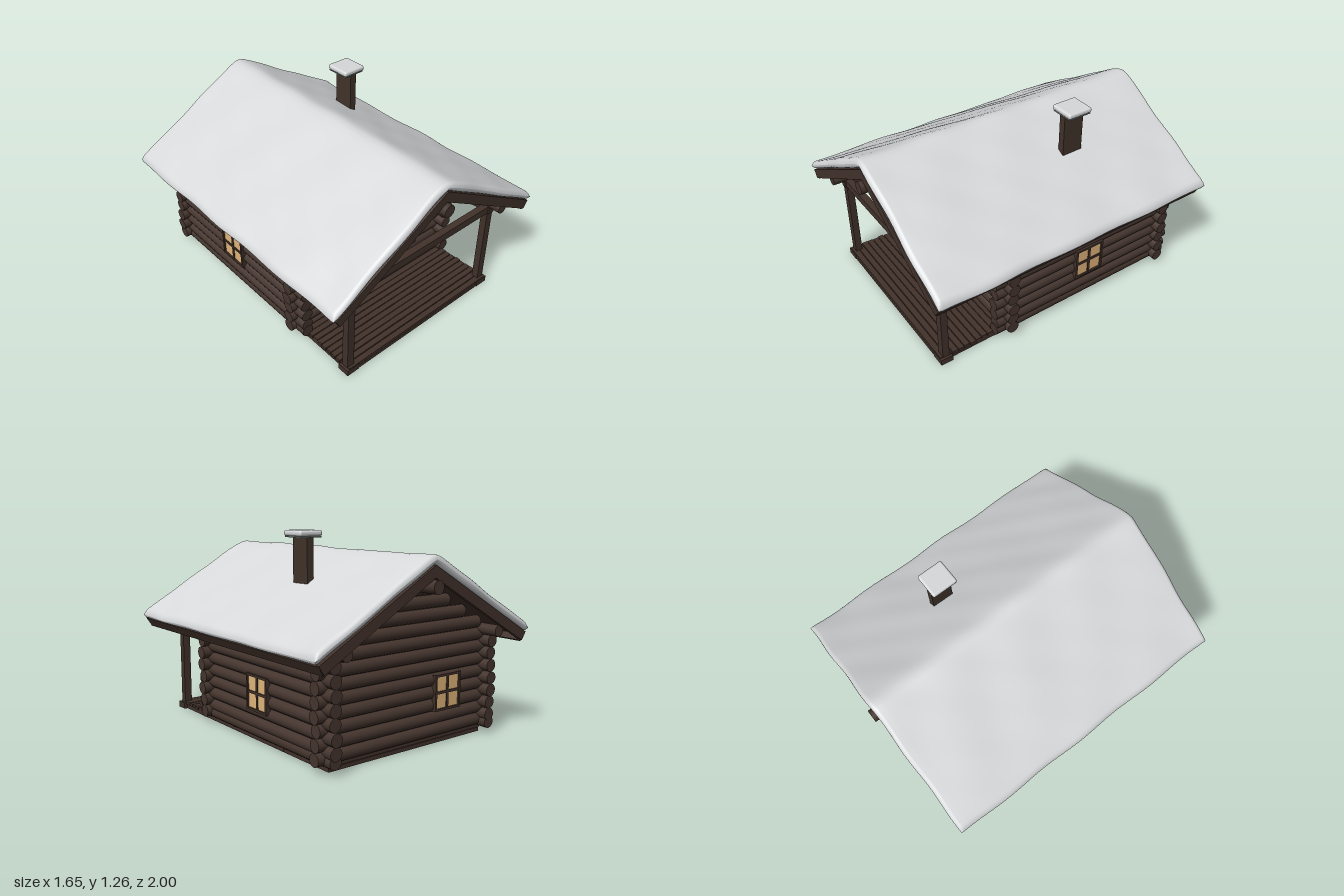
import * as THREE from 'three';
import { RoundedBoxGeometry } from 'three/addons/geometries/RoundedBoxGeometry.js';

const mat = (name, color, side = THREE.FrontSide) => {
  const m = new THREE.MeshStandardMaterial({ color, side });
  m.name = name;
  return m;
};

// Small seeded generator for hand-cut irregularity
function seeded(seed) {
  return () => {
    seed = (seed * 16807) % 2147483647;
    return seed / 2147483647;
  };
}

const PITCH = 0.0775, WALL_X = 0.61, FRONT_Z = 0.405, BACK_Z = -0.785, SLOPE = 0.5625;

export function createModel() {
  const model = new THREE.Group();
  model.name = 'logCabin';
  const rand = seeded(77);
  const logWood = mat('logWood', 0x45352e);
  const trimWood = mat('trimWood', 0x42322b);
  const doorWood = mat('doorWood', 0x46362f);
  const chimneyBrown = mat('chimneyBrown', 0x41332a);
  const snow = mat('snow', 0xd6d8da);
  const glow = mat('windowGlow', 0xe2b67c);
  const metal = mat('capMetal', 0x737c78);

  const group = (name, parent = model) => {
    const g = new THREE.Group();
    g.name = name;
    parent.add(g);
    return g;
  };
  const add = (parent, name, geo, material, x = 0, y = 0, z = 0) => {
    const m = new THREE.Mesh(geo, material);
    m.name = name;
    m.position.set(x, y, z);
    parent.add(m);
    return m;
  };
  const box = (parent, name, material, w, h, d, x, y, z) =>
    add(parent, name, new THREE.BoxGeometry(w, h, d), material, x, y, z);
  // Log from a to b along one axis
  const log = (parent, name, axis, a, b, u, y, r = 0.0395) => {
    const geo = new THREE.CylinderGeometry(r, r, b - a, 14);
    if (axis === 'x') geo.rotateZ(Math.PI / 2); else geo.rotateX(Math.PI / 2);
    const mid = (a + b) / 2;
    return axis === 'x' ? add(parent, name, geo, logWood, mid, y, u)
      : add(parent, name, geo, logWood, u, y, mid);
  };

  // Front and back walls, continuing up into the gables
  const walls = group('logWalls');
  for (const z of [FRONT_Z, BACK_Z]) {
    for (let i = 0; i < 12; i++) {
      const y = 0.085 + i * PITCH;
      const half = i < 7 ? 0.675 : Math.min(0.61, (1.055 - y - 0.035) / SLOPE);
      const jig = () => (i < 7 ? rand() * 0.018 : 0);
      log(walls, i < 7 ? 'wallLog' : 'gableLog', 'x', -half - jig(), half + jig(), z, y);
    }
  }
  // Side walls, staggered by half a log
  for (const x of [-WALL_X, WALL_X]) {
    for (let i = 0; i < 8; i++) {
      const y = i ? 0.0465 + i * PITCH : 0.075;
      log(walls, 'sideLog', 'z', -0.868 - rand() * 0.014, 0.495 + rand() * 0.014, x, y);
    }
  }

  // Ridge beam and eave purlins
  const roof = group('roof');
  log(roof, 'ridgeBeam', 'z', -1, 1, 0, 0.97, 0.04);
  for (const s of [-1, 1]) log(roof, 'purlin', 'z', -0.94, 0.94, s * 0.59, 0.66, 0.036);

  // Wooden roof deck and gable bargeboards share a chevron section
  const chevron = (drop, endX, depth) => {
    const top = 1.09, endY = top - SLOPE * endX, inX = endX - drop * 0.48;
    const shape = new THREE.Shape([
      [0, top], [-endX, endY], [-inX, top - drop - SLOPE * inX], [0, top - drop],
      [inX, top - drop - SLOPE * inX], [endX, endY],
    ].map(([x, y]) => new THREE.Vector2(x, y)));
    return new THREE.ExtrudeGeometry(shape, { depth, bevelEnabled: false });
  };
  add(roof, 'roofBoards', chevron(0.03, 0.79, 1.92), trimWood, 0, 0, -0.96);
  add(roof, 'frontBargeboard', chevron(0.07, 0.8, 0.025), trimWood, 0, 0, 0.95);
  add(roof, 'backBargeboard', chevron(0.07, 0.8, 0.025), trimWood, 0, 0, -0.975);
  for (const s of [-1, 1]) {
    const b = box(roof, 'eaveBoard', trimWood, 0.02, 0.06, 1.93, s * 0.772, 0.613, 0);
    b.rotation.z = -s * 0.51;
  }

  add(roof, 'roofSnow', snowBlanket(), snow);

  // Chimney with a snow-covered cap
  const chimney = group('chimney');
  box(chimney, 'stack', chimneyBrown, 0.045, 0.34, 0.14, 0.352, 1.055, -0.24);
  box(chimney, 'capPlate', metal, 0.15, 0.008, 0.155, 0.352, 1.226, -0.24);
  add(chimney, 'capSnow', new RoundedBoxGeometry(0.165, 0.034, 0.17, 3, 0.014), snow, 0.352, 1.247, -0.24);

  // Floor planks over joists
  const floor = group('floor');
  for (let i = 0; i < 40; i++) {
    const w = 1.2 + rand() * 0.02;
    box(floor, 'plank', trimWood, w, 0.02, 0.037, 0, 0.036 + rand() * 0.004, -0.78 + i * 0.042);
  }
  for (let i = -2; i <= 2; i++) box(floor, 'joist', trimWood, 0.035, 0.028, 1.66, i * 0.29, 0.014, 0.04);
  for (const z of [-0.78, -0.36, 0.06, 0.48, 0.86]) {
    box(floor, 'crossBeam', trimWood, 1.2, 0.024, 0.035, 0, 0.014, z);
  }

  // Porch posts and beams
  const porch = group('porch');
  for (const s of [-1, 1]) {
    box(porch, 'post', trimWood, 0.05, 0.6, 0.045, s * 0.58, 0.335, 0.838);
    box(porch, 'postFoot', trimWood, 0.09, 0.04, 0.08, s * 0.575, 0.02, 0.84);
    box(porch, 'sideBeam', trimWood, 0.045, 0.045, 0.46, s * 0.58, 0.613, 0.64);
  }
  box(porch, 'frontBeam', trimWood, 1.2, 0.05, 0.045, 0, 0.617, 0.838);

  // Rectangular frame facing +z
  const frame = (parent, name, material, w, h, t, d, x, y, z) => {
    for (const s of [-1, 1]) {
      box(parent, name, material, t, h, d, x + s * (w - t) / 2, y, z);
      box(parent, name, material, w - 2 * t, t, d, x, y + s * (h - t) / 2, z);
    }
  };

  // Front door with two raised panels
  const door = group('door');
  door.position.set(-0.195, 0.285, 0.44);
  box(door, 'doorLeaf', doorWood, 0.21, 0.43, 0.02, 0, -0.005, 0);
  frame(door, 'doorFrame', trimWood, 0.25, 0.47, 0.02, 0.04, 0, 0, 0);
  for (const y of [0.117, -0.103]) {
    box(door, 'doorPanel', doorWood, 0.13, 0.135, 0.008, 0, y, 0.012);
    frame(door, 'panelTrim', trimWood, 0.15, 0.155, 0.01, 0.016, 0, y, 0.012);
  }
  box(door, 'doorHandle', trimWood, 0.012, 0.03, 0.022, -0.09, 0.02, 0.016);

  // Four-pane windows, one for each wall
  const windows = [
    [0.265, FRONT_Z + 0.038, 0], [-0.27, BACK_Z - 0.038, Math.PI],
    [WALL_X + 0.038, -0.19, Math.PI / 2], [-WALL_X - 0.038, -0.19, -Math.PI / 2],
  ];
  for (const [x, z, turn] of windows) {
    const win = group('window');
    win.position.set(x, 0.318, z);
    win.rotation.y = turn;
    box(win, 'windowPane', glow, 0.19, 0.198, 0.006, 0, 0, 0.002);
    frame(win, 'windowFrame', trimWood, 0.212, 0.22, 0.014, 0.03, 0, 0, 0);
    box(win, 'mullion', trimWood, 0.016, 0.198, 0.014, 0, 0, 0.004);
    box(win, 'transom', trimWood, 0.19, 0.016, 0.014, 0, 0, 0.004);
  }
  return model;
}

// Soft snow layer: top and bottom sheets closing together at a rounded rim
function snowBlanket() {
  const HX = 0.82, HZ = 0.98, R = 0.03;
  const stations = (half, n) => {
    const rim = [0, 0.08, 0.3, 0.6].map((k) => half - k * R);
    const inner = Array.from({ length: n + 1 }, (_, i) => (i / n * 2 - 1) * (half - R));
    return [...rim.map((v) => -v), ...inner, ...rim.reverse()];
  };
  const xs = stations(HX, 44), zs = stations(HZ, 40);
  const round = (v, half) => {
    const e = Math.max(0, (Math.abs(v) - (half - R)) / R);
    return Math.sqrt(Math.max(0, 1 - e * e));
  };
  const bump = (x, z) => 0.0022 * (Math.sin(9 * x + 5 * z) + Math.sin(13 * z - 7 * x + 1) + 0.7 * Math.sin(23 * x + 17 * z));
  const positions = [], index = [];
  for (const side of [1, -1]) {
    const base = positions.length / 3;
    for (const z of zs) {
      for (const x of xs) {
        const a = Math.abs(x);
        const top = 1.172 - 0.585 * Math.sqrt(a * a + 0.0025) + bump(x, z);
        const low = 1.092 - SLOPE * a;
        const mid = (top + low) / 2, t = (top - low) / 2 * round(x, HX) * round(z, HZ);
        const wx = 0.005 * Math.sin(11 * z + x) * (a / HX);
        const wz = 0.004 * Math.sin(15 * x) * (z / HZ);
        positions.push(x + wx, mid + side * t, z + wz);
      }
    }
    const n = xs.length;
    for (let j = 0; j < zs.length - 1; j++) {
      for (let i = 0; i < n - 1; i++) {
        const a = base + j * n + i, b = a + 1, c = a + n, d = c + 1;
        if (side > 0) index.push(a, c, b, b, c, d);
        else index.push(a, b, c, b, d, c);
      }
    }
  }
  const geo = new THREE.BufferGeometry();
  geo.setAttribute('position', new THREE.Float32BufferAttribute(positions, 3));
  geo.setIndex(index);
  geo.computeVertexNormals();
  return geo;
}
